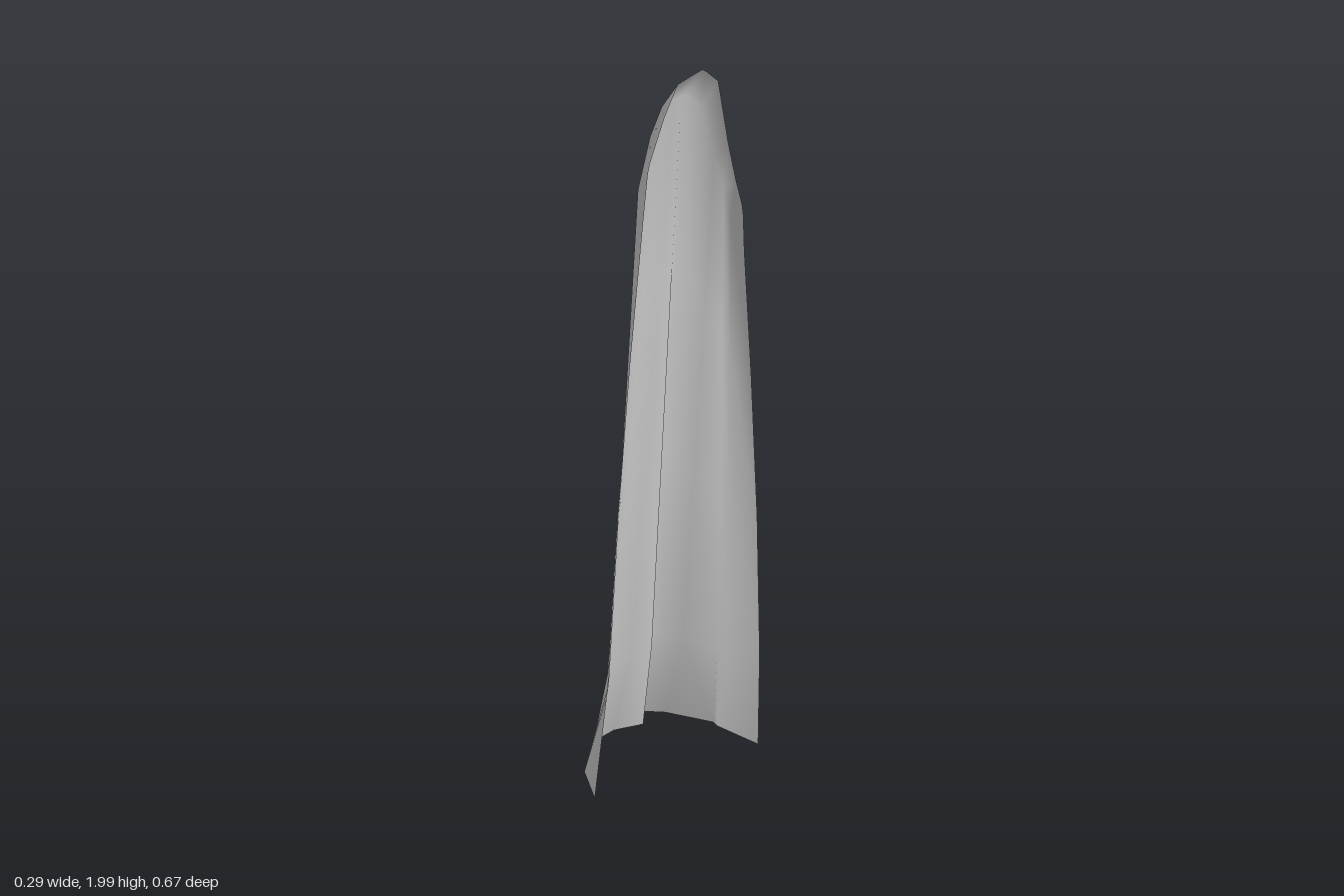
import * as THREE from 'three';

// Cross-sections of the cloth, each running from the +z edge to the -z edge: [x, y, z]
const hem = [
  [0.105, 0.01, 0.333], [0.025, 0.06, 0.303], [-0.03, 0.07, 0.235], [-0.09, 0.09, 0.17],
  [-0.085, 0.11, 0.098], [-0.035, 0.125, 0.028], [-0.145, 0.13, -0.003], [-0.122, 0.125, -0.06],
  [-0.1, 0.115, -0.118], [0.01, 0.09, -0.213], [-0.012, 0.065, -0.25], [0.075, 0.01, -0.337],
];
const flare = [
  [0.12, 0.3, 0.3], [0.08, 0.32, 0.258], [0.035, 0.33, 0.225], [-0.025, 0.33, 0.16],
  [-0.015, 0.35, 0.09], [0.005, 0.37, 0.03], [-0.06, 0.39, -0.01], [-0.035, 0.37, -0.06],
  [-0.02, 0.36, -0.115], [0.05, 0.33, -0.19], [0.04, 0.32, -0.243], [0.1, 0.3, -0.315],
];
const shoulder = [
  [0.144, 1.6, 0.185], [0.1, 1.68, 0.165], [0.09, 1.82, 0.112], [0.08, 1.9, 0.06],
  [0.077, 1.92, 0.01], [0.077, 1.93, -0.015], [0.077, 1.93, -0.04], [0.078, 1.9, -0.088],
  [0.09, 1.76, -0.13], [0.095, 1.67, -0.16], [0.1, 1.59, -0.185], [0.14, 1.5, -0.2],
];
// Top rim lies in one plane: [y, z]
const rim = [
  [1.72, 0.17], [1.75, 0.162], [1.87, 0.11], [1.96, 0.06], [1.985, 0.005], [2, -0.03],
  [1.995, -0.045], [1.97, -0.09], [1.8, -0.13], [1.7, -0.16], [1.63, -0.185], [1.6, -0.19],
].map(([y, z]) => [0.145, y, z]);

// Section between flare and shoulder, with the side edges bulging slightly
function between(t) {
  return flare.map((p, i) => {
    const q = p.map((v, k) => THREE.MathUtils.lerp(v, shoulder[i][k], t));
    if (i === 0 || i === flare.length - 1) q[2] *= 1 + 0.045 * Math.sin(Math.PI * t);
    return q;
  });
}

// Skin consecutive sections into one smooth sheet
function loft(sections) {
  const n = sections[0].length;
  const index = [];
  for (let r = 0; r < sections.length - 1; r++) {
    for (let c = 0; c < n - 1; c++) {
      const a = r * n + c, b = a + 1, d = a + n, e = d + 1;
      index.push(a, d, b, b, d, e);
    }
  }
  const geometry = new THREE.BufferGeometry();
  geometry.setAttribute('position', new THREE.Float32BufferAttribute(sections.flat(2), 3));
  geometry.setIndex(index);
  geometry.computeVertexNormals();
  return geometry;
}

export function createModel() {
  const group = new THREE.Group();
  group.name = 'cape';
  const material = new THREE.MeshStandardMaterial({ color: 0xcccccc, side: THREE.DoubleSide });

  // Draped cloth with folds, open towards +x
  const cloth = new THREE.Mesh(
    loft([hem, flare, between(0.35), between(0.7), shoulder, rim]), material);
  cloth.name = 'capeCloth';
  group.add(cloth);
  return group;
}
